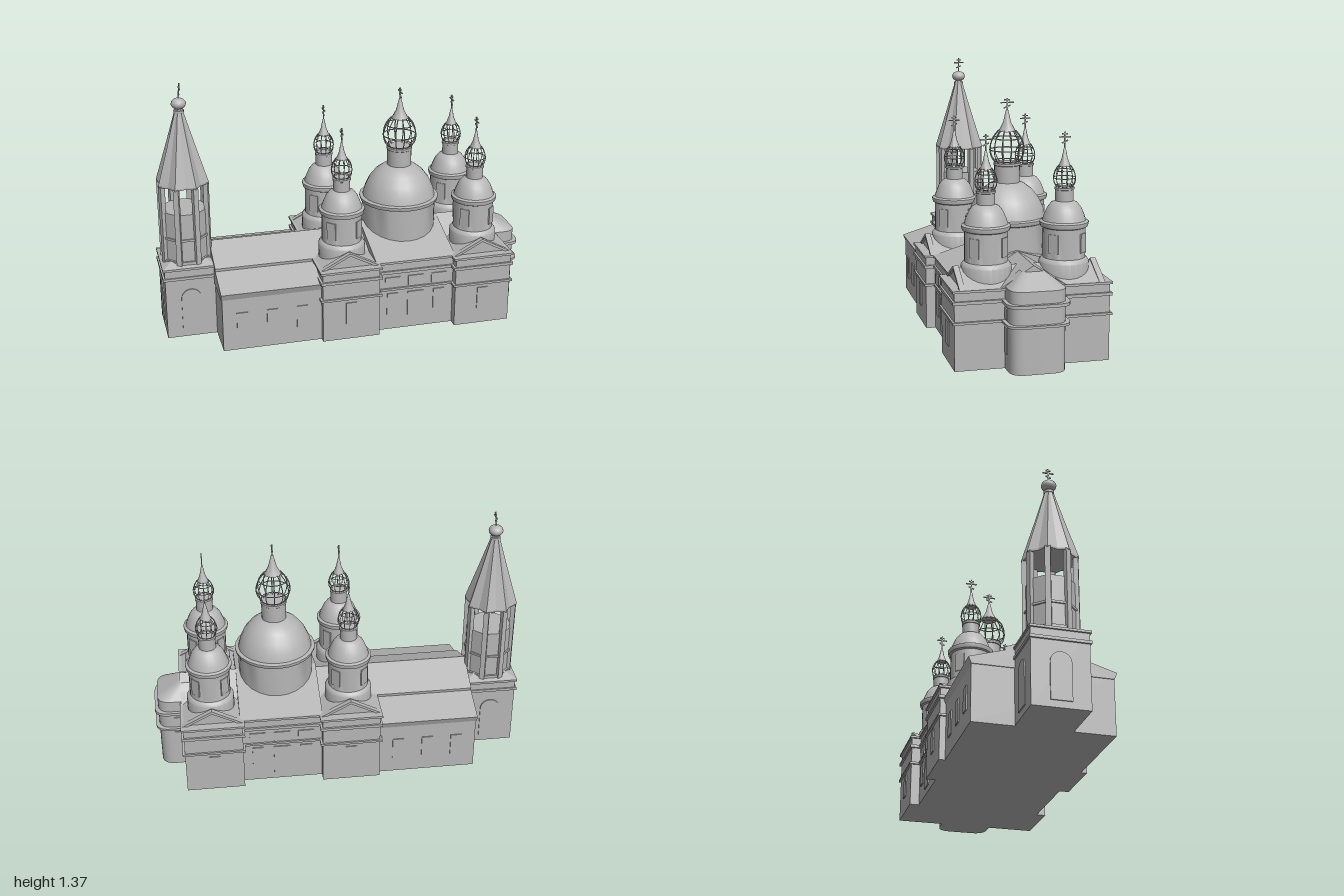
import * as THREE from 'three';
import { toCreasedNormals } from 'three/addons/utils/BufferGeometryUtils.js';

const stone = new THREE.MeshStandardMaterial({ color: 0xb6b6b6 });
stone.name = 'grey stone';

function add(parent, name, geometry) {
  const mesh = new THREE.Mesh(geometry, stone);
  mesh.name = name;
  parent.add(mesh);
  return mesh;
}

// Box from its limits
function box(parent, name, x0, x1, y0, y1, z0, z1) {
  const g = new THREE.BoxGeometry(x1 - x0, y1 - y0, z1 - z0);
  return add(parent, name, g.translate((x0 + x1) / 2, (y0 + y1) / 2, (z0 + z1) / 2));
}

function lathe(parent, name, pairs, sides) {
  const g = new THREE.LatheGeometry(pairs.map(p => new THREE.Vector2(...p)), sides);
  return add(parent, name, toCreasedNormals(g, 0.6));
}

// Extruded outline in (x, y), running along z
function prism(parent, name, pairs, z0, z1) {
  const shape = new THREE.Shape(pairs.map(p => new THREE.Vector2(...p)));
  const g = new THREE.ExtrudeGeometry(shape, { depth: z1 - z0, bevelEnabled: false });
  return add(parent, name, g.translate(0, 0, z0));
}

// Same, with the outline in (z, y) and running along x
function prismX(parent, name, pairs, x0, x1) {
  const mesh = prism(parent, name, pairs.map(([z, y]) => [-z, y]), x0, x1);
  mesh.geometry.rotateY(Math.PI / 2);
  return mesh;
}

// Three-barred cross, arms along z
function cross(parent, y, height, width) {
  const g = new THREE.Group();
  g.name = 'cross';
  g.position.y = y;
  const t = 0.003;
  box(g, 'crossPost', -t, t, 0, height, -t, t);
  [[0.88, 0.45, 0], [0.7, 1, 0], [0.42, 0.55, 0.4]].forEach(([h, w, tilt]) => {
    const bar = box(g, 'crossBar', -t, t, -t, t, -width * w, width * w);
    bar.position.y = height * h;
    bar.rotation.x = tilt;
  });
  parent.add(g);
  return g;
}

// Open wire onion between neck and finial
function onion(parent, profile, wire) {
  const g = new THREE.Group();
  g.name = 'wireOnion';
  const curve = new THREE.CatmullRomCurve3(profile.map(([r, y]) => new THREE.Vector3(r, y, 0)));
  const rib = new THREE.TubeGeometry(curve, 12, wire, 4);
  for (let i = 0; i < 12; i++) add(g, 'onionRib', rib).rotation.y = i * Math.PI / 6;
  [0.1, 0.45, 0.75].forEach(t => {
    const p = curve.getPoint(t);
    const ring = new THREE.TorusGeometry(p.x, wire, 4, 24).rotateX(Math.PI / 2);
    add(g, 'onionRing', ring).position.y = p.y;
  });
  parent.add(g);
}

function smallDome(parent, x, z) {
  const g = new THREE.Group();
  g.name = 'cornerDome';
  g.position.set(x, 0, z);
  lathe(g, 'drumAndDome', [
    [0.125, 0.39], [0.125, 0.485], [0.115, 0.5], [0.107, 0.505], [0.107, 0.655], [0.118, 0.66],
    [0.122, 0.675], [0.122, 0.683], [0.108, 0.69], [0.1, 0.715], [0.085, 0.75], [0.066, 0.775],
    [0.045, 0.785], [0.045, 0.84], [0.049, 0.842], [0.049, 0.852], [0, 0.852]], 24);
  for (let i = 0; i < 4; i++) {
    const pane = box(g, 'drumWindow', -0.026, 0.026, 0.535, 0.63, 0.101, 0.11);
    pane.rotation.y = i * Math.PI / 2 + Math.PI / 4;
  }
  onion(g, [[0.037, 0.85], [0.052, 0.875], [0.055, 0.905], [0.046, 0.935], [0.03, 0.96]], 0.0022);
  lathe(g, 'finial', [[0, 0.955], [0.031, 0.955], [0.016, 0.992], [0.005, 1.045], [0, 1.05]], 12);
  cross(g, 1.04, 0.085, 0.03);
  parent.add(g);
}

function mainDome(parent) {
  const g = new THREE.Group();
  g.name = 'mainDome';
  g.position.x = 0.33;
  lathe(g, 'drumAndDome', [
    [0.2, 0.39], [0.2, 0.62], [0.212, 0.625], [0.217, 0.637], [0.217, 0.645], [0.198, 0.65],
    [0.188, 0.69], [0.165, 0.74], [0.13, 0.785], [0.09, 0.815], [0.066, 0.823],
    [0.066, 0.91], [0.07, 0.913], [0.07, 0.925], [0, 0.925]], 24);
  onion(g, [[0.055, 0.92], [0.082, 0.955], [0.09, 1], [0.075, 1.05], [0.045, 1.09]], 0.003);
  lathe(g, 'finial', [[0, 1.085], [0.046, 1.085], [0.022, 1.13], [0.006, 1.195], [0, 1.2]], 12);
  cross(g, 1.18, 0.075, 0.035);
  parent.add(g);
}

function bellTower(root) {
  const g = new THREE.Group();
  g.name = 'bellTower';
  g.position.x = -0.855;
  box(g, 'towerBase', -0.135, 0.135, 0, 0.4, -0.145, 0.145);
  box(g, 'towerCornice', -0.145, 0.137, 0.335, 0.35, -0.152, 0.152);
  box(g, 'towerEave', -0.145, 0.137, 0.39, 0.402, -0.152, 0.152);
  const cap = new THREE.ConeGeometry(0.2, 0.06, 4).toNonIndexed().rotateY(Math.PI / 4);
  cap.computeVertexNormals();
  add(g, 'towerBaseRoof', cap.translate(0, 0.432, 0));
  // Arched niches on the three outer walls
  const arch = new THREE.Shape();
  arch.moveTo(-0.053, 0.035).lineTo(0.053, 0.035).lineTo(0.053, 0.225);
  arch.absarc(0, 0.225, 0.053, 0, Math.PI, false);
  const archPlate = new THREE.ExtrudeGeometry(arch, { depth: 0.006, bevelEnabled: false });
  [[0, 0.145], [-Math.PI / 2, 0.135], [Math.PI, 0.145]].forEach(([turn, d]) => {
    const m = add(g, 'archNiche', archPlate);
    m.rotation.y = turn;
    m.position.set(Math.sin(turn) * d, 0, Math.cos(turn) * d);
  });
  // Octagonal belfry
  const oct = (name, r, y0, y1) => {
    const geo = new THREE.CylinderGeometry(r, r, y1 - y0, 8).rotateY(Math.PI / 8);
    add(g, name, toCreasedNormals(geo, 0.3)).position.y = (y0 + y1) / 2;
  };
  oct('belfryFoot', 0.136, 0.4, 0.425);
  oct('belfryCore', 0.125, 0.4, 0.69);
  oct('belfryLedge', 0.133, 0.54, 0.552);
  for (let i = 0; i < 8; i++) {
    const pillar = box(g, 'belfryPillar', -0.014, 0.014, 0.4, 0.838, 0.113, 0.138);
    pillar.rotation.y = (i + 0.5) * Math.PI / 4;
  }
  // Pleated spire: every other meridian is drawn in
  const profile = [[0, 0.832], [0.142, 0.832], [0.142, 0.842], [0.076, 1.05], [0.018, 1.24]];
  let spire = new THREE.LatheGeometry(profile.map(p => new THREE.Vector2(...p)), 16);
  const pos = spire.attributes.position;
  for (let i = 0; i < pos.count; i++) {
    if (Math.floor(i / profile.length) % 2 === 0) {
      pos.setX(i, pos.getX(i) * 0.83);
      pos.setZ(i, pos.getZ(i) * 0.83);
    }
  }
  spire = spire.toNonIndexed();
  spire.computeVertexNormals();
  add(g, 'spire', spire);
  lathe(g, 'spireCollar', [[0, 1.215], [0.027, 1.215], [0.027, 1.228], [0, 1.228]], 12);
  add(g, 'spireBall', new THREE.SphereGeometry(0.039, 16, 10).scale(1, 0.76, 1)).position.y = 1.262;
  cross(g, 1.28, 0.09, 0.028).rotation.z = -0.1;
  root.add(g);
}

// Apse outline with rounded outer corners, extruded upward
function apseSlab(parent, name, grow, y0, y1) {
  const x = 0.982 + grow, z = 0.14 + grow, r = 0.075;
  const s = new THREE.Shape();
  s.moveTo(0.8, -z).lineTo(x - r, -z).quadraticCurveTo(x, -z, x, -z + r);
  s.lineTo(x, z - r).quadraticCurveTo(x, z, x - r, z).lineTo(0.8, z);
  const geo = new THREE.ExtrudeGeometry(s, { depth: y1 - y0, bevelEnabled: false, curveSegments: 8 });
  return add(parent, name, toCreasedNormals(geo.rotateX(-Math.PI / 2).translate(0, y0, 0), 0.6));
}

export function createModel() {
  const root = new THREE.Group();
  root.name = 'church';
  bellTower(root);

  // Nave with lower side aisles
  box(root, 'naveBody', -0.725, -0.19, 0, 0.3, -0.358, 0.358);
  prismX(root, 'aisleRoof', [[-0.358, 0.295], [0.358, 0.295], [0.372, 0.33], [0.19, 0.385], [-0.19, 0.385], [-0.372, 0.33]], -0.73, -0.19);
  prismX(root, 'naveRoof', [[-0.19, 0.37], [0.19, 0.37], [0.195, 0.4], [0, 0.482], [-0.195, 0.4]], -0.73, 0.15);

  // Church body: two wide corner blocks and a narrower middle
  [['westBlock', -0.195, 0.115, 0.39], ['middleBlock', 0.1, 0.55, 0.34], ['eastBlock', 0.54, 0.85, 0.39]].forEach(([name, x0, x1, z]) => {
    box(root, name, x0, x1, 0, 0.4, -z, z);
    [[0.234, 0.246], [0.332, 0.348], [0.39, 0.402]].forEach(([y0, y1]) =>
      box(root, name + 'Band', x0 - 0.012, x1 + 0.012, y0, y1, -z - 0.01, z + 0.01));
  });
  // Cross gables with raised pediment rims
  [-0.04, 0.695].forEach(x => {
    prism(root, 'crossGable', [[x - 0.155, 0.4], [x + 0.155, 0.4], [x, 0.478]], -0.352, 0.352);
    const rim = [[x - 0.162, 0.4], [x - 0.135, 0.4], [x, 0.47], [x + 0.135, 0.4], [x + 0.162, 0.4], [x, 0.486]];
    prism(root, 'pedimentRim', rim, 0.335, 0.364);
    prism(root, 'pedimentRim', rim, -0.364, -0.335);
  });
  prismX(root, 'middleRoof', [[-0.345, 0.4], [0.345, 0.4], [0, 0.505]], 0.11, 0.55);
  prismX(root, 'eastGable', [[-0.165, 0.4], [0.165, 0.4], [0, 0.505]], 0.5, 0.855);

  // Apse with bands and a sloping roof
  apseSlab(root, 'apse', 0, 0, 0.41);
  [[0.234, 0.246], [0.332, 0.348]].forEach(([y0, y1]) => apseSlab(root, 'apseBand', 0.018, y0, y1));
  const apseRoof = apseSlab(root, 'apseRoof', 0, 0, 1);
  const p = apseRoof.geometry.attributes.position;
  for (let i = 0; i < p.count; i++) {
    const top = p.getY(i) > 0.5;
    if (top) p.setXYZ(i, 0.8 + (p.getX(i) - 0.8) * 0.35, 0.475, p.getZ(i) * 0.4);
    else p.setY(i, 0.41);
  }
  apseRoof.geometry.computeVertexNormals();

  // Windows and doors, mirrored front to back
  [1, -1].forEach(side => {
    const pane = (name, x, w, y0, y1, z) => {
      const a = side * z, b = side * (z + 0.006);
      box(root, name, x - w / 2, x + w / 2, y0, y1, Math.min(a, b), Math.max(a, b));
    };
    pane('door', 0.33, 0.09, 0.035, 0.215, 0.34);
    [0.2, 0.46].forEach(x => pane('middleWindow', x, 0.06, 0.09, 0.215, 0.34));
    [0.2, 0.33, 0.46].forEach(x => pane('upperWindow', x, 0.085, 0.255, 0.31, 0.34));
    [-0.04, 0.695].forEach(x => pane('blockWindow', x, 0.06, 0.09, 0.215, 0.39));
    [-0.62, -0.46, -0.3].forEach(x => pane('naveWindow', x, 0.06, 0.09, 0.215, 0.358));
    pane('apseWindow', 0.88, 0.04, 0.085, 0.215, 0.14);
    pane('apseUpperWindow', 0.88, 0.04, 0.255, 0.31, 0.14);
  });

  mainDome(root);
  [-0.045, 0.695].forEach(x => [-0.198, 0.198].forEach(z => smallDome(root, x, z)));
  return root;
}
